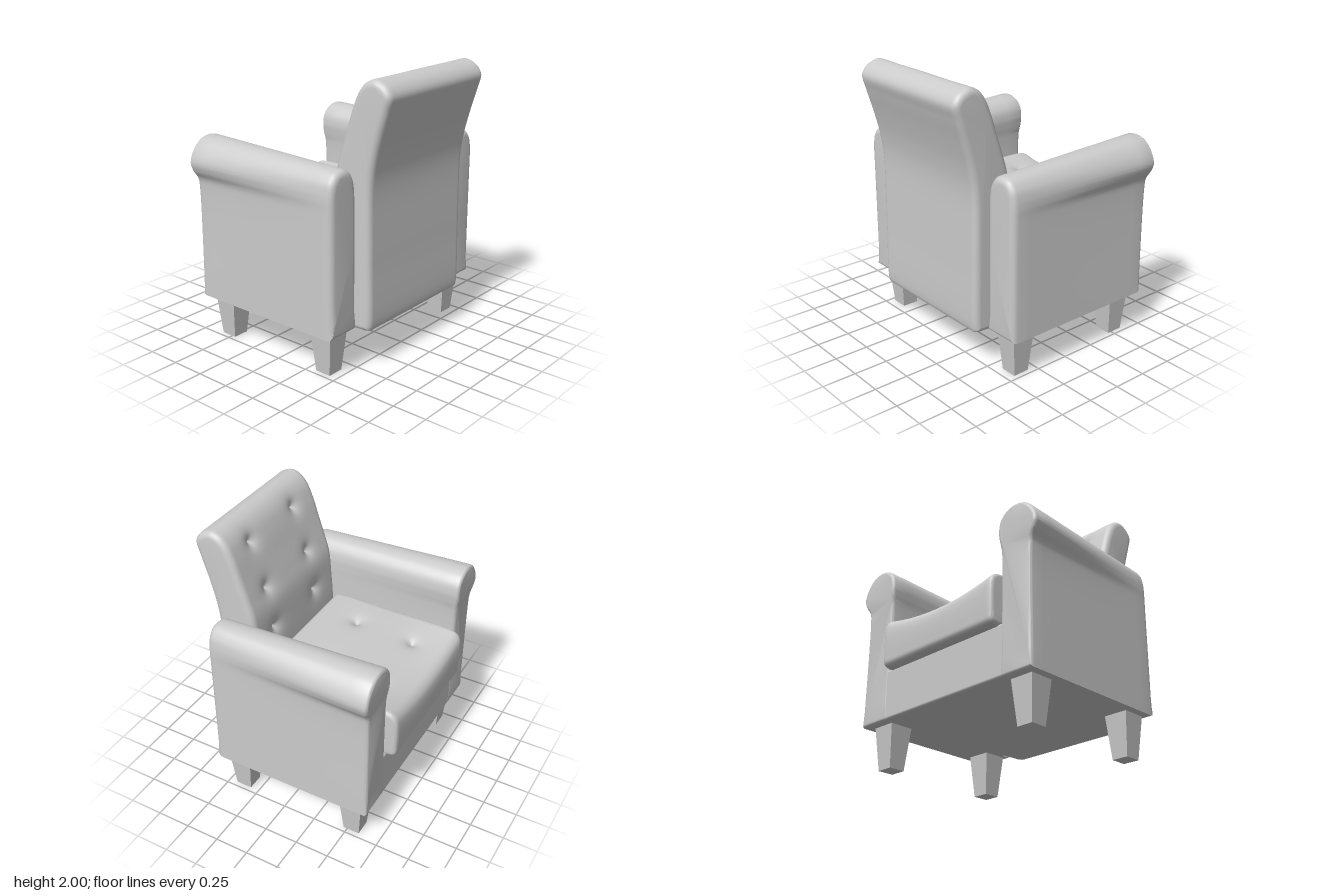
import * as THREE from 'three';
import { toCreasedNormals } from 'three/addons/utils/BufferGeometryUtils.js';
import { RoundedBoxGeometry } from 'three/addons/geometries/RoundedBoxGeometry.js';

const material = new THREE.MeshStandardMaterial({ color: 0xcccccc });

function addMesh(parent, name, geometry, mat = material) {
  const mesh = new THREE.Mesh(geometry, mat);
  mesh.name = name;
  parent.add(mesh);
  return mesh;
}

// Smooth curve through [a, b] pairs
function spline(pairs, closed) {
  return new THREE.CatmullRomCurve3(pairs.map(([a, b]) => new THREE.Vector3(a, b, 0)), closed);
}

// Stations from a to b, with quarter-round ends of radius ra and rb
function stations(a, b, ra, rb, middle) {
  const list = [], steps = 5;
  for (let i = 0; i < steps; i++) {
    const k = (i / steps) * Math.PI / 2;
    list.push({ s: a + ra * (1 - Math.cos(k)), inset: ra * (1 - Math.sin(k)) });
  }
  for (let i = 0; i <= middle; i++) {
    list.push({ s: a + ra + (b - rb - a - ra) * i / middle, inset: 0 });
  }
  for (let i = steps - 1; i >= 0; i--) {
    const k = (i / steps) * Math.PI / 2;
    list.push({ s: b - rb * (1 - Math.cos(k)), inset: rb * (1 - Math.sin(k)) });
  }
  return list;
}

// Closed solid from profiles along the stations; dent() pushes points inwards
function loft(list, profileAt, place, dent = () => 0) {
  const pos = [], index = [], ends = [];
  let n = 0;
  list.forEach(({ s, inset }, row) => {
    const pts = profileAt(s);
    n = pts.length;
    const sign = THREE.ShapeUtils.area(pts) > 0 ? 1 : -1;
    const ring = pts.map((p, i) => {
      const a = pts[(i + n - 1) % n], b = pts[(i + 1) % n];
      const normal = new THREE.Vector2(b.y - a.y, a.x - b.x).normalize().multiplyScalar(sign);
      const depth = inset + dent(s, p, normal);
      return new THREE.Vector2(p.x - normal.x * depth, p.y - normal.y * depth);
    });
    ring.forEach((p) => pos.push(...place(s, p)));
    if (row === 0 || row === list.length - 1) ends.push(ring);
    if (row > 0) {
      for (let i = 0; i < n; i++) {
        const a = (row - 1) * n + i, b = (row - 1) * n + (i + 1) % n;
        index.push(a, b, a + n, b, b + n, a + n);
      }
    }
  });
  // End caps, wound to agree with the sides
  const last = (list.length - 1) * n;
  ends.forEach((ring, e) => {
    const ccw = THREE.ShapeUtils.area(ring) > 0;
    for (const [a, b, c] of THREE.ShapeUtils.triangulateShape(ring, [])) {
      const cross = (ring[b].x - ring[a].x) * (ring[c].y - ring[a].y)
        - (ring[b].y - ring[a].y) * (ring[c].x - ring[a].x);
      const same = (cross > 0) === ccw;
      if (same === (e === 1)) index.push(last * e + a, last * e + b, last * e + c);
      else index.push(last * e + a, last * e + c, last * e + b);
    }
  });
  // Turn the faces outwards if the signed volume is negative
  const v = (i) => new THREE.Vector3().fromArray(pos, i * 3);
  let volume = 0;
  for (let i = 0; i < index.length; i += 3) {
    volume += v(index[i]).dot(v(index[i + 1]).cross(v(index[i + 2])));
  }
  if (volume < 0) index.reverse();
  const geometry = new THREE.BufferGeometry();
  geometry.setAttribute('position', new THREE.Float32BufferAttribute(pos, 3));
  geometry.setIndex(index);
  return toCreasedNormals(geometry, 0.8);
}

// Depth of the button tufts at (x, v)
function tufts(x, v, rows) {
  let depth = 0;
  for (const row of rows) {
    depth += 0.055 * Math.exp(-Math.hypot(Math.abs(x) - 0.27, v - row) / 0.04);
  }
  return depth;
}

export function createModel() {
  const chair = new THREE.Group();
  chair.name = 'armchair';

  // Base between and below the arms
  const base = addMesh(chair, 'base', new RoundedBoxGeometry(1.594, 0.365, 1.138, 4, 0.02));
  base.position.set(0, 0.4875, -0.119);

  // Arms: rolled at the open end, plain and narrower at the back
  const rolled = spline([[0.54, 0.305], [0.54, 1.18], [0.53, 1.26], [0.525, 1.33], [0.54, 1.4],
    [0.59, 1.455], [0.67, 1.48], [0.76, 1.46], [0.83, 1.39], [0.86, 1.31], [0.845, 1.25],
    [0.81, 1.19], [0.8, 1.12], [0.8, 0.305]]).getPoints(91);
  const plain = spline([[0.54, 0.305], [0.54, 1.18], [0.542, 1.25], [0.547, 1.31], [0.565, 1.37],
    [0.61, 1.425], [0.67, 1.44], [0.735, 1.425], [0.78, 1.37], [0.795, 1.31], [0.8, 1.25],
    [0.8, 1.19], [0.8, 1.12], [0.8, 0.305]]).getPoints(91);
  const armProfile = (z) => {
    const t = THREE.MathUtils.clamp((z + 0.66) / 1.15, 0, 1);
    return rolled.map((p, i) => new THREE.Vector2(
      THREE.MathUtils.lerp(p.x, plain[i].x, t), THREE.MathUtils.lerp(p.y, plain[i].y, t)));
  };
  const armStations = stations(-0.69, 0.53, 0.025, 0.045, 12);
  for (const [name, side] of [['leftArm', 1], ['rightArm', -1]]) {
    addMesh(chair, name, loft(armStations, armProfile, (z, p) => {
      const swell = z < -0.6 ? 0.015 * THREE.MathUtils.smoothstep(p.y, 1.15, 1.3) : 0;
      return [side * p.x, Math.max(p.y, 0.305), z - swell];
    }));
  }

  // Backrest: curved side profile (z, y) with three rows of tufts
  const backProfile = spline([[0.61, 0.305], [0.62, 0.33], [0.62, 0.8], [0.62, 1.3], [0.645, 1.47],
    [0.69, 1.64], [0.74, 1.8], [0.765, 1.9], [0.735, 1.955], [0.69, 1.985], [0.635, 2],
    [0.575, 1.98], [0.52, 1.925], [0.47, 1.82], [0.42, 1.67], [0.37, 1.52], [0.335, 1.4],
    [0.315, 1.2], [0.3, 0.95], [0.3, 0.33], [0.31, 0.305]], true)
    .getSpacedPoints(220).slice(0, -1).map((p) => new THREE.Vector2(p.x, p.y));
  addMesh(chair, 'backrest', loft(stations(-0.532, 0.532, 0.045, 0.045, 80), () => backProfile,
    (x, p) => [x, Math.max(p.y, 0.305), p.x],
    (x, p, n) => (n.x < -0.3 ? tufts(x, p.y, [1.2, 1.52, 1.85]) : 0)));

  // Seat cushion: rounded slab, sagging at the middle of its open edge
  const seatProfile = spline([[-0.73, 0.66], [-0.755, 0.68], [-0.762, 0.74], [-0.762, 0.94],
    [-0.75, 0.99], [-0.72, 1.022], [-0.67, 1.035], [-0.2, 1.035], [0.24, 1.035], [0.28, 1.02],
    [0.295, 0.98], [0.295, 0.7], [0.28, 0.66], [0.24, 0.65], [-0.2, 0.655], [-0.69, 0.655]], true)
    .getSpacedPoints(180).slice(0, -1).map((p) => new THREE.Vector2(p.x, p.y));
  addMesh(chair, 'seatCushion', loft(stations(-0.53, 0.53, 0.03, 0.03, 80), () => seatProfile,
    (x, p) => {
      const middle = Math.max(0, 1 - (x / 0.53) ** 2);
      const edge = THREE.MathUtils.smoothstep(-p.x, 0.2, 0.76);
      const upper = THREE.MathUtils.smoothstep(p.y, 0.66, 1);
      return [x, p.y - 0.07 * middle * edge * upper, p.x];
    },
    (x, p, n) => (n.y > 0.5 ? tufts(x, p.x, [-0.48, -0.03]) : 0)));

  // Four tapered square legs
  const legMaterial = material.clone();
  legMaterial.flatShading = true;
  const legShape = new THREE.CylinderGeometry(0.125, 0.085, 0.31, 4, 1, false, Math.PI / 4);
  for (const side of [1, -1]) {
    for (const z of [0.378, -0.532]) {
      const leg = addMesh(chair, 'leg', legShape, legMaterial);
      leg.position.set(side * 0.653, 0.155, z);
    }
  }
  return chair;
}
